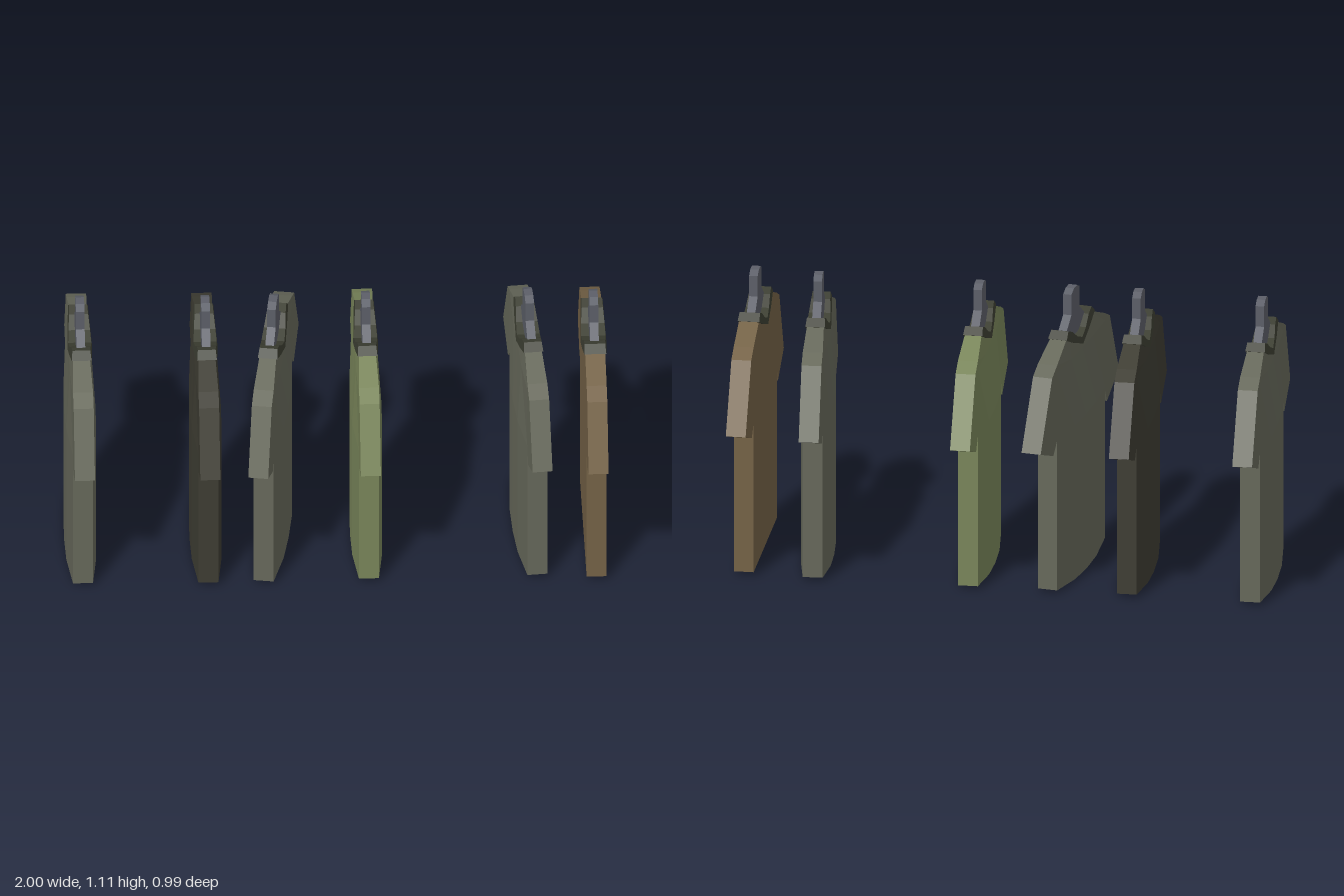
import * as THREE from 'three';

const paint = (name, color) => {
  const m = new THREE.MeshStandardMaterial({ color });
  m.name = name;
  return m;
};

// Flat plate drawn as [z, y] points, centred on x = 0
function plate(points, thickness) {
  const shape = new THREE.Shape(points.map(([z, y]) => new THREE.Vector2(z, y)));
  const g = new THREE.ExtrudeGeometry(shape, { depth: thickness, bevelEnabled: false });
  g.translate(0, 0, -thickness / 2);
  g.rotateY(-Math.PI / 2);
  return g;
}

// Torso lofted along z; each section holds row heights and half thicknesses
function torsoGeometry(flat) {
  const sections = [
    [0.29, 0.015, 0.90, [0.037, 0.037, 0.037, 0.037]],
    [0.13, 0.004, 0.965, [0.055, 0.055, 0.042, 0.03]],
    [0, 0, 0.89, [0.058, 0.058, 0.042, 0.04]],
  ];
  const ordered = [
    ...sections.map(([z, ...rest]) => [-z, ...rest]),
    ...sections.slice(0, 2).reverse(),
  ];
  const loops = ordered.map(([z, bottom, top, halves]) => {
    const side = [flat ? 0.015 : bottom, 0.61, 0.87, top].map((y, i) => [flat ? 0.037 : halves[i], y, z]);
    return [...side, ...side.map(([x, y, w]) => [-x, y, w]).reverse()];
  });
  const pos = [];
  const tri = (...corners) => corners.forEach((p) => pos.push(...p));
  const n = loops[0].length;
  for (let j = 0; j < loops.length - 1; j++) {
    for (let k = 0; k < n; k++) {
      const a = loops[j][k], b = loops[j][(k + 1) % n];
      const c = loops[j + 1][(k + 1) % n], d = loops[j + 1][k];
      tri(a, b, c);
      tri(a, c, d);
    }
  }
  const first = loops[0], last = loops[loops.length - 1];
  for (let k = 1; k < n - 1; k++) {
    tri(last[0], last[k], last[k + 1]);
    tri(first[0], first[k + 1], first[k]);
  }
  const g = new THREE.BufferGeometry();
  g.setAttribute('position', new THREE.Float32BufferAttribute(pos, 3));
  g.computeVertexNormals();
  return g;
}

// V-shaped neck band, narrowing towards its top
function collarGeometry(flat) {
  const outer = [[-0.17, 0.955], [-0.09, 0.918], [0, 0.885], [0.09, 0.918], [0.17, 0.955]];
  const inner = [[0.14, 0.98], [0.1, 0.965], [0.05, 0.93], [0, 0.91], [-0.05, 0.93], [-0.1, 0.965], [-0.14, 0.98]];
  const g = plate([...outer, ...inner], 2);
  const p = g.attributes.position;
  for (let i = 0; i < p.count; i++) {
    const t = (p.getY(i) - 0.885) / 0.095;
    const half = flat ? 0.048 - 0.01 * t : 0.046 - 0.013 * t;
    p.setX(i, Math.sign(p.getX(i)) * half);
  }
  g.computeVertexNormals();
  return g;
}

export function createModel() {
  const model = new THREE.Group();
  model.name = 'hangingShirts';

  const sage = paint('sage grey', 0x66685a);
  const charcoal = paint('charcoal', 0x3e3d33);
  const green = paint('moss green', 0x79855a);
  const brown = paint('brown', 0x746246);
  const steel = paint('hanger grey', 0x5c5f68);
  const trim = paint('collar dark', 0x3c3e32);

  const sleeveFront = plate([[0.285, 0.61], [0.315, 0.545], [0.46, 0.62], [0.35, 0.87], [0.29, 0.90]], 0.074);
  const sleeveBack = plate([[-0.285, 0.61], [-0.335, 0.56], [-0.49, 0.62], [-0.35, 0.87], [-0.29, 0.90]], 0.074);
  const halfHanger = [[0.05, 0.922], [0.11, 0.965], [0.05, 1.01], [0.05, 1.09], [0.02, 1.105]];
  const hanger = plate([...halfHanger, ...halfHanger.map(([z, y]) => [-z, y]).reverse()], 0.032);

  // x, z, turn, cloth, flat
  const shirts = [
    [-0.942, -0.005, 0, sage, false],
    [-0.48, 0.01, 0, charcoal, false],
    [-0.23, 0.012, -0.16, sage, false],
    [0.112, 0.01, 0, green, false],
    [0.712, 0.012, 0.073, sage, false],
    [0.951, 0.033, 0, brown, true],
  ];
  for (const [x, z, turn, cloth, flat] of shirts) {
    const shirt = new THREE.Group();
    shirt.name = 'shirt';
    const add = (name, geometry, material) => {
      const mesh = new THREE.Mesh(geometry, material);
      mesh.name = name;
      shirt.add(mesh);
    };
    add('torso', torsoGeometry(flat), cloth);
    add('frontSleeve', sleeveFront, cloth);
    add('backSleeve', sleeveBack, cloth);
    add('collar', collarGeometry(flat), trim);
    add('hanger', hanger, steel);
    shirt.position.set(x, 0, z);
    shirt.rotation.y = turn;
    model.add(shirt);
  }
  return model;
}
